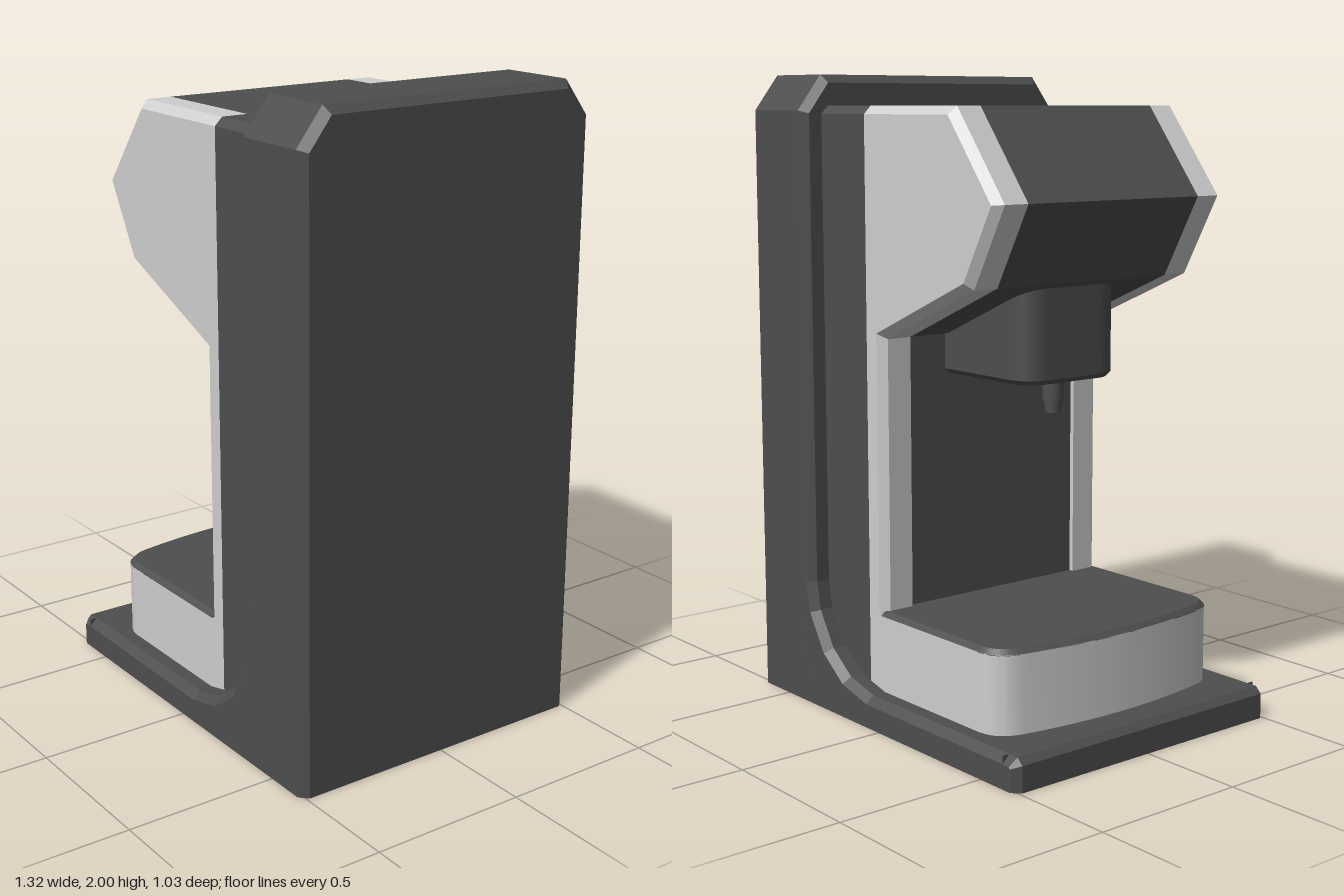
import * as THREE from 'three';
import { toCreasedNormals } from 'three/addons/utils/BufferGeometryUtils.js';

const dark = new THREE.MeshStandardMaterial({ color: 0x4e4e4e });
dark.name = 'charcoal';
const grey = new THREE.MeshStandardMaterial({ color: 0xcecece });
grey.name = 'light grey';

const shapeOf = (pts) => new THREE.Shape(pts.map(([x, y]) => new THREE.Vector2(x, y)));

// Prism from z0 to z1 with chamfered rims; the chamfer stays inside the outline
function prism(shape, z0, z1, bevel = 0) {
  const g = new THREE.ExtrudeGeometry(shape, {
    depth: z1 - z0 - 2 * bevel, bevelEnabled: bevel > 0, bevelSize: bevel,
    bevelThickness: bevel, bevelOffset: -bevel, bevelSegments: 1, curveSegments: 12,
  });
  return g.translate(0, 0, z0 + bevel);
}

// Upright prism from a plan, smooth around its curves
const lay = (plan, y0, y1, bevel) => toCreasedNormals(prism(plan, y0, y1, bevel).rotateX(-Math.PI / 2), 0.4);

// Prism along x from an end-on outline
const alongX = (outline, x0, x1, bevel) => prism(outline, x0, x1, bevel).rotateY(Math.PI / 2);

const block = (x0, x1, y0, y1, z0, z1) => new THREE.BoxGeometry(x1 - x0, y1 - y0, z1 - z0)
  .translate((x0 + x1) / 2, (y0 + y1) / 2, (z0 + z1) / 2);

// Cuts a prism square by flattening vertices beyond the given limits
function clamp(g, lo, hi) {
  const p = g.attributes.position;
  const box = new THREE.Box3(new THREE.Vector3(...lo), new THREE.Vector3(...hi));
  const v = new THREE.Vector3();
  for (let i = 0; i < p.count; i++) {
    box.clampPoint(v.fromBufferAttribute(p, i), v);
    p.setXYZ(i, v.x, v.y, v.z);
  }
  g.computeVertexNormals();
  return g;
}

// Rounded, bowed plan of the drip tray, inset by d
function trayPlan(back, d = 0) {
  const w = 0.445 - d, f = -0.5 + d;
  const s = new THREE.Shape();
  s.moveTo(back, w);
  s.lineTo(f + 0.1, w);
  s.quadraticCurveTo(f + 0.01, w, f - 0.006, w - 0.1);
  s.quadraticCurveTo(f - 0.071, 0, f - 0.006, -w + 0.1);
  s.quadraticCurveTo(f + 0.01, -w, f + 0.1, -w);
  s.lineTo(back, -w);
  return s;
}

export function createModel() {
  const group = new THREE.Group();
  const add = (name, geometry, material) => {
    const m = new THREE.Mesh(geometry, material);
    m.name = name;
    group.add(m);
  };
  const far = 5;

  // Hollow back housing, open below: sides and top, then the two faces
  const slab = shapeOf([[-0.515, -0.03], [-0.455, -0.03], [-0.455, 1.85], [-0.4, 1.92], [0.4, 1.92], [0.455, 1.85],
    [0.455, -0.03], [0.515, -0.03], [0.515, 1.89], [0.43, 2], [-0.43, 2], [-0.515, 1.89]]);
  add('housingShell', clamp(alongX(slab, 0.3625, 0.6575, 0.025), [-far, 0, -far], [far, far, far]), dark);
  const face = shapeOf([[-0.49, 0], [0.49, 0], [0.49, 1.88], [0.418, 1.975], [-0.418, 1.975], [-0.49, 1.88]]);
  add('housingBack', alongX(face, 0.6375, 0.6575), dark);
  add('housingFront', alongX(face, 0.3625, 0.3825), dark);

  // Base: side rails sweeping up into the housing, front rail, and the deck around the tray
  const rail = () => prism(shapeOf([[-0.6575, -0.03], [0.41, -0.03], [0.41, 0.55], [0.3625, 0.55], [0.3625, 0.4],
    [0.345, 0.31], [0.275, 0.2], [0.18, 0.13], [0.06, 0.1], [-0.637, 0.1], [-0.6575, 0.08]]), -0.515, 0.515, 0.025);
  add('leftRail', clamp(rail(), [-far, 0, 0.445], [far, far, far]), dark);
  add('rightRail', clamp(rail(), [-far, 0, -far], [far, far, -0.445]), dark);
  add('frontRail', clamp(rail(), [-far, 0, -far], [-0.6, 0.1, far]), dark);
  const deck = shapeOf([[0.06, -0.485], [-0.625, -0.485], [-0.625, 0.485], [0.06, 0.485]]);
  add('baseDeck', lay(new THREE.Shape([...deck.getPoints(), ...trayPlan(0.06).getPoints(12)]), 0, 0.1), dark);

  // Cheek parts: head and slim column in one thin chamfered plate
  const head = [[-0.285, 1.905], [-0.497, 1.635], [-0.36, 1.388], [0.06, 1.207]];
  const plate = shapeOf([[0.2, 1.905], ...head, [0.06, -0.03], [0.2, -0.03]]);
  const cheek = shapeOf([[0.135, 1.905], ...head, [0.135, 1.207]]);
  const rear = shapeOf([[0.05, -0.03], [0.45, -0.03], [0.45, 1.905], [0.05, 1.905]]);
  for (const [side, s] of [['left', 1], ['right', -1]]) {
    const lo = s > 0 ? 0.42 : -far, hi = s > 0 ? far : -0.42;
    const span = (a, b) => (s > 0 ? [a, b] : [-b, -a]);
    add(side + 'CheekPlate', clamp(prism(plate, ...span(0.2, 0.445), 0.025), [-far, 0, lo], [0.135, far, hi]), grey);
    add(side + 'CheekHead', prism(cheek, ...span(0.335, 0.42)), grey);
    add(side + 'ColumnEdge', block(0.06, 0.08, 0.3, 1.21, ...span(0.335, 0.42)), grey);
    add(side + 'RearPlate', clamp(prism(rear, ...span(0.2, 0.445), 0.025), [0.135, 0, lo], [0.37, far, hi]), dark);
  }

  // Dark centre of the head, its rear, and the recessed column face
  add('headCore', prism(shapeOf([[0.135, 1.905], ...head, [0.135, 1.207]]), -0.335, 0.335), dark);
  add('headRear', block(0.135, 0.37, 1.2, 1.905, -0.42, 0.42), dark);
  add('columnFace', new THREE.PlaneGeometry(0.67, 0.91).rotateY(-Math.PI / 2).translate(0.075, 0.755, 0), dark);

  // Drip tray: pale wall, floor and chamfered lid
  const wall = new THREE.Shape([...trayPlan(0.135).getPoints(12), ...trayPlan(0.135, 0.02).getPoints(12).reverse()]);
  add('trayWall', lay(wall, 0, 0.342), grey);
  add('trayFloor', lay(trayPlan(0.075, 0.02), 0.06, 0.07), dark);
  add('trayLid', clamp(lay(trayPlan(0.12), 0.31, 0.357, 0.015), [-far, 0.34, -far], [0.075, far, far]), dark);

  // Brew unit under the head, with rounded front corners
  const brew = new THREE.Shape();
  brew.moveTo(0.1, 0.19);
  brew.lineTo(-0.23, 0.19);
  brew.quadraticCurveTo(-0.32, 0.19, -0.32, 0.1);
  brew.lineTo(-0.32, -0.1);
  brew.quadraticCurveTo(-0.32, -0.19, -0.23, -0.19);
  brew.lineTo(0.1, -0.19);
  add('brewUnit', clamp(lay(brew, 1.08, 1.42, 0.015), [-far, 0, -far], [0.075, far, far]), dark);

  // Stepped spout
  for (const [name, r0, r1, y0, y1] of [
    ['spoutCollar', 0.042, 0.038, 1.068, 1.085],
    ['spout', 0.034, 0.032, 1.01, 1.075],
    ['spoutTip', 0.027, 0.025, 0.975, 1.012],
  ]) {
    add(name, new THREE.CylinderGeometry(r0, r1, y1 - y0, 16).translate(-0.22, (y0 + y1) / 2, 0), dark);
  }

  return group;
}
